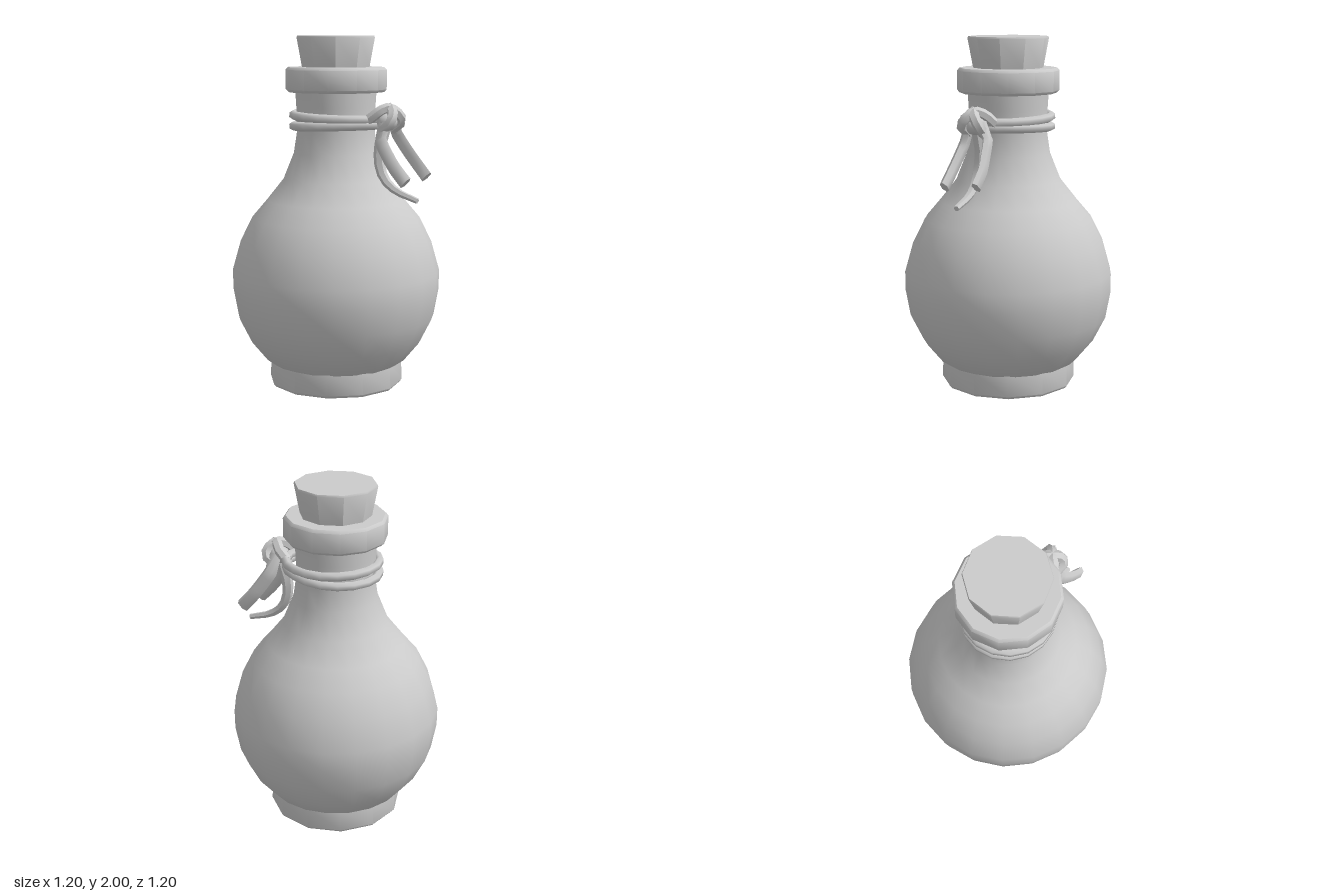
import * as THREE from 'three';
import { toCreasedNormals } from 'three/addons/utils/BufferGeometryUtils.js';

const material = new THREE.MeshStandardMaterial({ color: 0xcccccc });
const doubleSided = new THREE.MeshStandardMaterial({ color: 0xcccccc, side: THREE.DoubleSide });

function addMesh(group, name, geometry, mat = material) {
  const mesh = new THREE.Mesh(geometry, mat);
  mesh.name = name;
  group.add(mesh);
  return mesh;
}

// Turned part from [radius, height] pairs, listed bottom to top
function turned(profile, sides, crease) {
  const pts = profile.map(([r, y]) => new THREE.Vector2(r, y));
  return toCreasedNormals(new THREE.LatheGeometry(pts, sides), crease);
}

// Cord with closed ends; flat squeezes its thickness along z, tip narrows the far end
function cord(points, radius, { flat = 1, tip = 1, steps = 8, sides = 6 } = {}) {
  const curve = new THREE.CatmullRomCurve3(points.map((p) => new THREE.Vector3(...p)));
  const geo = new THREE.TubeGeometry(curve, steps, radius, sides, false);
  const pos = geo.attributes.position;
  const v = new THREE.Vector3();
  for (let i = 0; i <= steps; i++) {
    const centre = curve.getPointAt(i / steps);
    const end = i <= 1 ? curve.getPointAt(0) : i >= steps - 1 ? curve.getPointAt(1) : centre;
    const scale = i === 0 || i === steps ? 0 : 1 + (tip - 1) * (i / steps) ** 2;
    for (let j = 0; j <= sides; j++) {
      const k = i * (sides + 1) + j;
      v.fromBufferAttribute(pos, k).sub(centre).multiplyScalar(scale);
      v.z *= flat;
      v.add(end);
      pos.setXYZ(k, v.x, v.y, v.z);
    }
  }
  return toCreasedNormals(geo, 0.9);
}

// Closed cord around the neck, drawn out towards the knot at +x
function neckCord(y, tilt) {
  const pts = [];
  for (let i = 0; i < 12; i++) {
    const a = (i / 12) * Math.PI * 2;
    const r = 0.243 + 0.05 * Math.max(0, Math.cos(a)) ** 4;
    pts.push(new THREE.Vector3(Math.cos(a) * r, y + tilt * Math.cos(a), Math.sin(a) * r));
  }
  const curve = new THREE.CatmullRomCurve3(pts, true);
  return new THREE.TubeGeometry(curve, 18, 0.026, 6, true);
}

export function createModel() {
  const model = new THREE.Group();
  model.name = 'corkedBottle';

  // Foot, round body with neck, and collar
  addMesh(model, 'foot', turned([[0, 0], [0.375, 0], [0.387, 0.015], [0.383, 0.14], [0.3, 0.16]], 12, 0.7));
  addMesh(model, 'body', turned([
    [0.37, 0.125], [0.41, 0.15], [0.5, 0.26], [0.57, 0.4], [0.597, 0.55], [0.598, 0.66],
    [0.55, 0.83], [0.48, 0.97], [0.395, 1.07], [0.3, 1.19], [0.24, 1.34],
    [0.222, 1.46], [0.225, 1.6], [0.232, 1.71],
  ], 20, 0.9), doubleSided);
  addMesh(model, 'collar', turned([
    [0.2, 1.685], [0.275, 1.685], [0.289, 1.7], [0.289, 1.81], [0.275, 1.825], [0.18, 1.825],
  ], 12, 0.8), doubleSided);

  // Tapered stopper
  addMesh(model, 'cork', turned([[0, 1.7], [0.182, 1.7], [0.2, 1.83], [0.23, 1.99], [0.226, 2], [0, 2]], 10, 0.6));

  // Two turns of cord around the neck
  addMesh(model, 'lowerNeckCord', neckCord(1.5, 0.01));
  addMesh(model, 'upperNeckCord', neckCord(1.548, -0.01));

  // Knot: a core with cords looped across it
  const knot = new THREE.Group();
  knot.name = 'knot';
  model.add(knot);
  const core = addMesh(knot, 'knotCore', new THREE.SphereGeometry(0.055, 8, 6));
  core.position.set(0.355, 1.53, 0);
  core.scale.set(1.1, 0.95, 1.15);
  for (const s of [1, -1]) {
    addMesh(knot, s > 0 ? 'frontKnotLoop' : 'backKnotLoop', cord([
      [0.27, 1.535, 0.07 * s], [0.315, 1.57, 0.06 * s], [0.365, 1.605, 0.01 * s],
      [0.41, 1.57, -0.03 * s], [0.41, 1.53, -0.055 * s], [0.35, 1.485, -0.05 * s],
    ], 0.03, { steps: 10 }));
  }

  // Loose ends: two broad ones at the sides, a pointed one between them
  addMesh(model, 'frontTail', cord([
    [0.36, 1.52, 0.04], [0.35, 1.45, 0.065], [0.41, 1.35, 0.08], [0.48, 1.265, 0.087], [0.535, 1.21, 0.087],
  ], 0.04, { flat: 0.6 }));
  addMesh(model, 'backTail', cord([
    [0.36, 1.54, -0.04], [0.355, 1.48, -0.075], [0.42, 1.37, -0.1], [0.48, 1.29, -0.115], [0.54, 1.225, -0.115],
  ], 0.04, { flat: 0.6 }));
  addMesh(model, 'middleTail', cord([
    [0.34, 1.5, 0], [0.312, 1.42, 0], [0.31, 1.3, 0.01], [0.345, 1.21, 0.01], [0.42, 1.15, 0.005], [0.555, 1.105, 0],
  ], 0.034, { tip: 0.35, steps: 10 }));

  return model;
}
